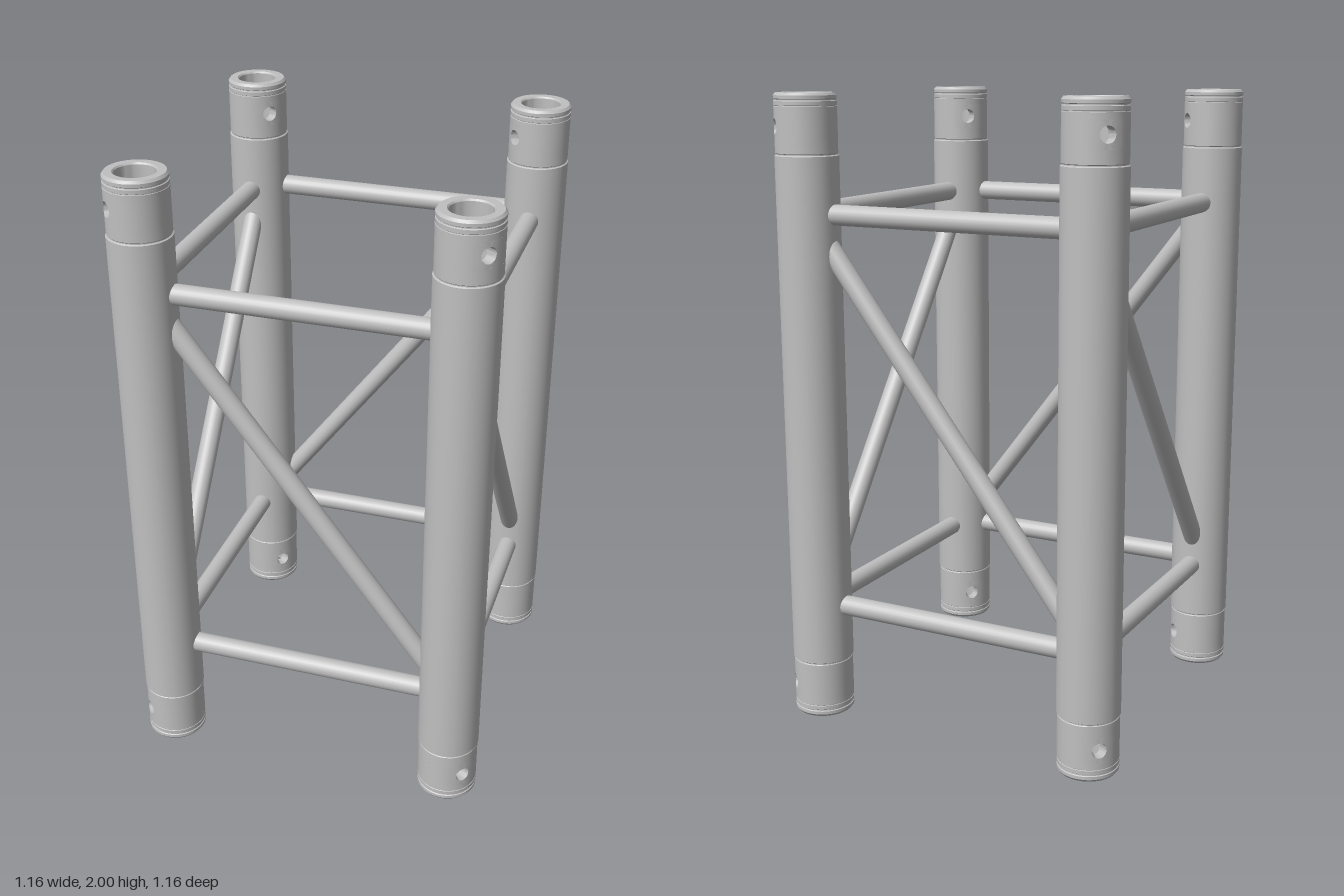
import * as THREE from 'three';
import { mergeGeometries, toCreasedNormals } from 'three/addons/utils/BufferGeometryUtils.js';
import { ParametricGeometry } from 'three/addons/geometries/ParametricGeometry.js';

const HEIGHT = 2;
const OFFSET = 0.48;       // chord axis distance from the centre planes
const TUBE_R = 0.098;      // chord tube
const END_R = 0.0955;      // coupler ends of the chord
const BORE_R = 0.061;
const BAR_R = 0.032;
const HOLE_R = 0.024;
const HOLE_Y = 0.1;
const WINDOW = 0.04;       // half size of the patch around a pin hole
const WINDOW_ANGLE = WINDOW / END_R;

const metal = new THREE.MeshStandardMaterial({ color: 0xc0c0c0 });
metal.name = 'aluminium';

const lathe = (points, start = 0, length = Math.PI * 2, segments = 48) =>
  new THREE.LatheGeometry(points.map(([r, y]) => new THREE.Vector2(r, y)), segments, start, length);

// Same profile at the other end of the chord
const flip = (points) => points.map(([r, y]) => [r, HEIGHT - y]).reverse();

// Curved patch with a pin hole: outer face, hole wall, then bore face
function holePatch(centreY, facing) {
  const rings = [[END_R, 1], [END_R, 0], [BORE_R, 0], [BORE_R, 1]]; // radius, square (1) or circle (0)
  return new ParametricGeometry((u, v, target) => {
    const t = u * Math.PI * 2, c = Math.cos(t), s = Math.sin(t);
    const stage = Math.min(Math.floor(v * 3 + 1e-6), 2), f = v * 3 - stage;
    const r = THREE.MathUtils.lerp(rings[stage][0], rings[stage + 1][0], f);
    const square = THREE.MathUtils.lerp(rings[stage][1], rings[stage + 1][1], f);
    const reach = THREE.MathUtils.lerp(HOLE_R, WINDOW / Math.max(Math.abs(c), Math.abs(s)), square);
    const angle = facing + (c * reach) / END_R;
    target.set(r * Math.sin(angle), centreY + s * reach, r * Math.cos(angle));
  }, 32, 9);
}

// Hollow chord with stepped, grooved ends and pin holes along its local z axis
function chordGeometry() {
  const low = HOLE_Y - WINDOW, high = HOLE_Y + WINDOW;
  const endProfile = [
    [BORE_R, low], [BORE_R, 0.005], [0.065, 0], [0.089, 0], [END_R, 0.008],
    [END_R, 0.018], [0.0925, 0.02], [0.0925, 0.023], [END_R, 0.025],
    [END_R, 0.037], [0.094, 0.038], [0.094, 0.04], [END_R, 0.041], [END_R, low],
  ];
  const shoulder = [[END_R, high], [END_R, 0.18], [0.0935, 0.182], [0.0935, 0.185], [TUBE_R, 0.188]];
  const parts = [
    lathe(endProfile),
    lathe(flip(endProfile)),
    lathe([...shoulder, ...flip(shoulder)]),
    lathe([[BORE_R, HEIGHT - high], [BORE_R, high]]),
  ];
  for (const facing of [0, Math.PI]) {
    const start = facing + WINDOW_ANGLE, length = Math.PI - 2 * WINDOW_ANGLE;
    for (const y of [HOLE_Y, HEIGHT - HOLE_Y]) {
      parts.push(holePatch(y, facing));
      parts.push(lathe([[END_R, y - WINDOW], [END_R, y + WINDOW]], start, length, 18));
      parts.push(lathe([[BORE_R, y + WINDOW], [BORE_R, y - WINDOW]], start, length, 18));
    }
  }
  return toCreasedNormals(mergeGeometries(parts), 0.6);
}

// Bar between two chords, its ends coped to fit the round tubes
function barGeometry(slope) {
  const geometry = new THREE.CylinderGeometry(BAR_R, BAR_R, 1, 24, 1, true);
  const dir = new THREE.Vector3(1, slope, 0).normalize();
  geometry.applyQuaternion(new THREE.Quaternion().setFromUnitVectors(new THREE.Vector3(0, 1, 0), dir));
  const position = geometry.attributes.position;
  const p = new THREE.Vector3();
  for (let i = 0; i < position.count; i++) {
    p.fromBufferAttribute(position, i);
    const end = OFFSET - Math.sqrt(0.09 ** 2 - p.z ** 2);
    const side = p.dot(dir) > 0 ? 1 : -1;
    p.addScaledVector(dir, (side * end - p.x) / dir.x);
    position.setXYZ(i, p.x, p.y, p.z);
  }
  return geometry;
}

export function createModel() {
  const model = new THREE.Group();
  model.name = 'boxTruss';

  const chord = chordGeometry();
  const level = barGeometry(0);
  const diagonal = barGeometry(-1.315);

  // Four identical sides, each with one chord, two rungs and a diagonal
  for (let i = 0; i < 4; i++) {
    const side = new THREE.Group();
    side.name = 'trussSide' + (i + 1);
    side.rotation.y = (i * Math.PI) / 2;

    const add = (name, geometry, x, y) => {
      const mesh = new THREE.Mesh(geometry, metal);
      mesh.name = name;
      mesh.position.set(x, y, OFFSET);
      side.add(mesh);
      return mesh;
    };
    add('chordTube', chord, -OFFSET, 0).rotation.y = -Math.PI / 4;
    add('upperRung', level, 0, 1.635);
    add('lowerRung', level, 0, 0.37);
    add('diagonalBrace', diagonal, 0, 1.0);
    model.add(side);
  }
  return model;
}
